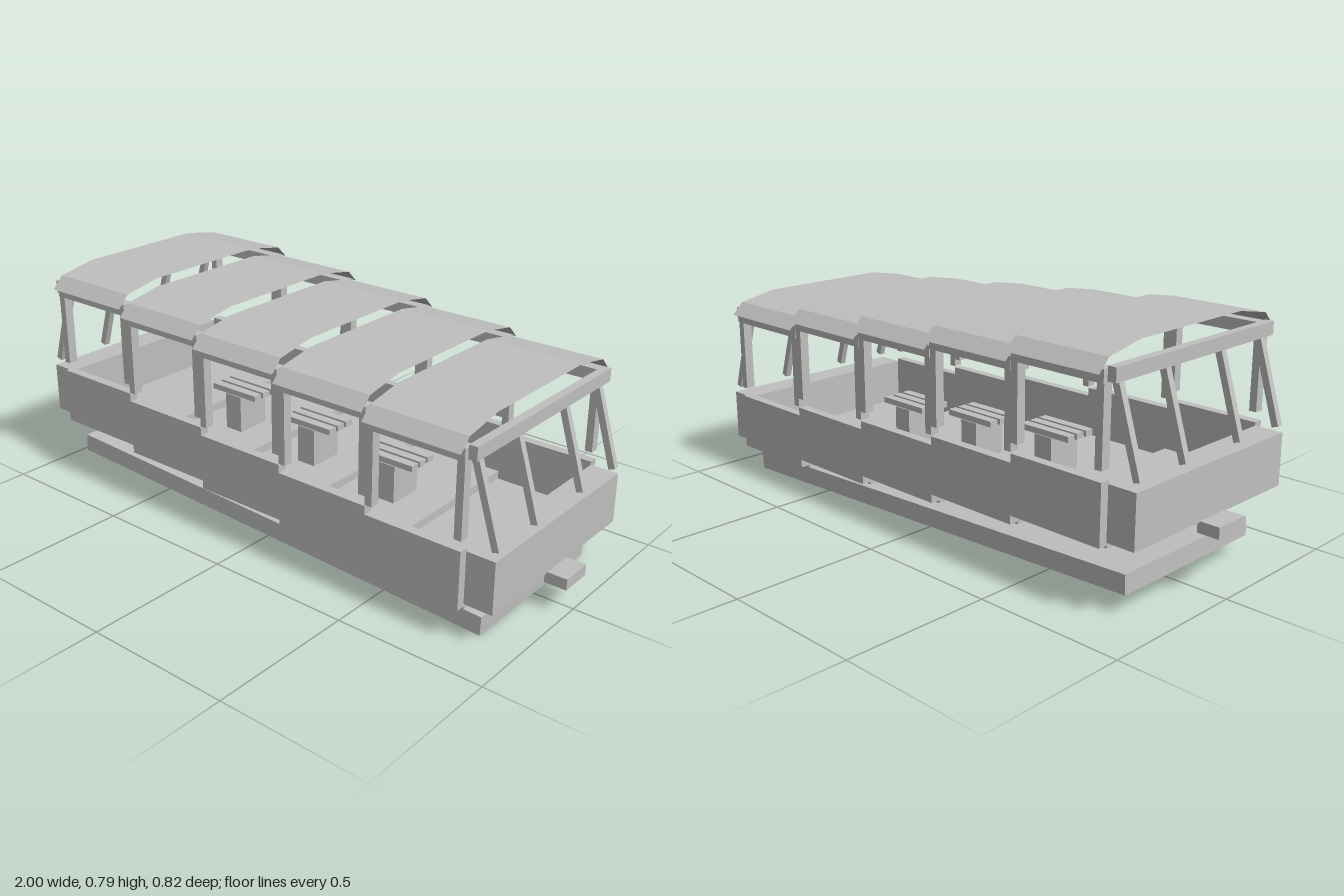
import * as THREE from 'three';

const grey = new THREE.MeshStandardMaterial({ color: 0xc0c0c0 });
grey.name = 'light grey';
const sheetGrey = grey;
sheetGrey.side = THREE.DoubleSide;

const SECTIONS = 5, LENGTH = 0.335, STEP = 0.028;

// Box given by its lower and upper limits on each axis
function box(parent, name, x0, x1, y0, y1, z0, z1) {
  const mesh = new THREE.Mesh(new THREE.BoxGeometry(x1 - x0, y1 - y0, z1 - z0), grey);
  mesh.position.set((x0 + x1) / 2, (y0 + y1) / 2, (z0 + z1) / 2);
  mesh.name = name;
  parent.add(mesh);
  return mesh;
}

// Open arched sheet made of flat strips along x
function roofSheet(x0, x1) {
  const profile = [[0.41, 0.724], [0.37, 0.765], [0.235, 0.79], [-0.235, 0.79], [-0.37, 0.765], [-0.41, 0.724]];
  const pos = [];
  for (let i = 0; i < profile.length - 1; i++) {
    const [za, ya] = profile[i], [zb, yb] = profile[i + 1];
    pos.push(x0, ya, za, x1, ya, za, x1, yb, zb, x0, ya, za, x1, yb, zb, x0, yb, zb);
  }
  const geo = new THREE.BufferGeometry();
  geo.setAttribute('position', new THREE.Float32BufferAttribute(pos, 3));
  geo.computeVertexNormals();
  const mesh = new THREE.Mesh(geo, sheetGrey);
  mesh.name = 'roofPanel';
  return mesh;
}

// Slatted seat on a pedestal
function bench(parent, x) {
  const g = new THREE.Group();
  g.name = 'bench';
  box(g, 'benchPedestal', x - 0.035, x + 0.035, 0.25, 0.383, -0.063, 0.063);
  for (const z of [-0.043, 0, 0.043]) box(g, 'benchSlat', x - 0.1, x + 0.1, 0.383, 0.403, z - 0.016, z + 0.016);
  parent.add(g);
}

// One stepped bay of the cabin
function section(i) {
  const g = new THREE.Group();
  g.name = 'cabinSection';
  g.position.y = -STEP * i;
  const x0 = -0.8375 + i * LENGTH, x1 = x0 + LENGTH;
  box(g, 'floor', x0, x1, 0.22, 0.252, -0.355, 0.355);
  for (const s of [-1, 1]) {
    const [a, b] = s > 0 ? [0.355, 0.387] : [-0.387, -0.355];
    box(g, 'sideWall', x0, x1, 0.229, 0.42, a, b);
    box(g, 'roofBeam', x0, x1, 0.695, 0.735, s > 0 ? 0.351 : -0.39, s > 0 ? 0.39 : -0.351);
    box(g, 'sidePost', x0, x0 + 0.025, 0.452, 0.695, a, b);
    box(g, 'sidePost', x1 - 0.025, x1, 0.452, 0.695, a, b);
  }
  g.add(roofSheet(x0, x1));
  if (i > 0 && i < SECTIONS - 1) bench(g, (x0 + x1) / 2);
  return g;
}

// End box, buffer, end beam and leaning posts; s is -1 for the high end, 1 for the low end
function carEnd(s) {
  const g = new THREE.Group();
  g.name = 'carEnd';
  g.position.y = s < 0 ? 0 : -4 * STEP;
  const span = (a, b) => (s > 0 ? [a, b] : [-b, -a]);
  box(g, 'endWall', ...span(0.8375, 0.933), 0.238, 0.409, -0.357, 0.357);
  box(g, 'buffer', ...span(0.925, 1), 0.204, 0.241, -0.057, 0.057);
  box(g, 'endBeam', ...span(0.8375, 0.866), 0.699, 0.742, -0.374, 0.374);
  for (const z of [-0.336, -0.132, 0.132, 0.336]) {
    const post = box(g, 'endPost', -0.0115, 0.0115, -0.142, 0.142, -0.011, 0.011);
    post.position.set(s * 0.882, 0.567, z);
    post.rotation.z = s * 0.3;
  }
  return g;
}

export function createModel() {
  const model = new THREE.Group();
  model.name = 'steppedRailCar';

  // Sloping chassis
  const chassis = box(model, 'chassis', -0.864, 0.864, 0.035, 0.098, -0.3, 0.3);
  chassis.rotation.z = -0.0395;

  for (let i = 0; i < SECTIONS; i++) model.add(section(i));
  for (const s of [-1, 1]) model.add(carEnd(s));
  return model;
}
